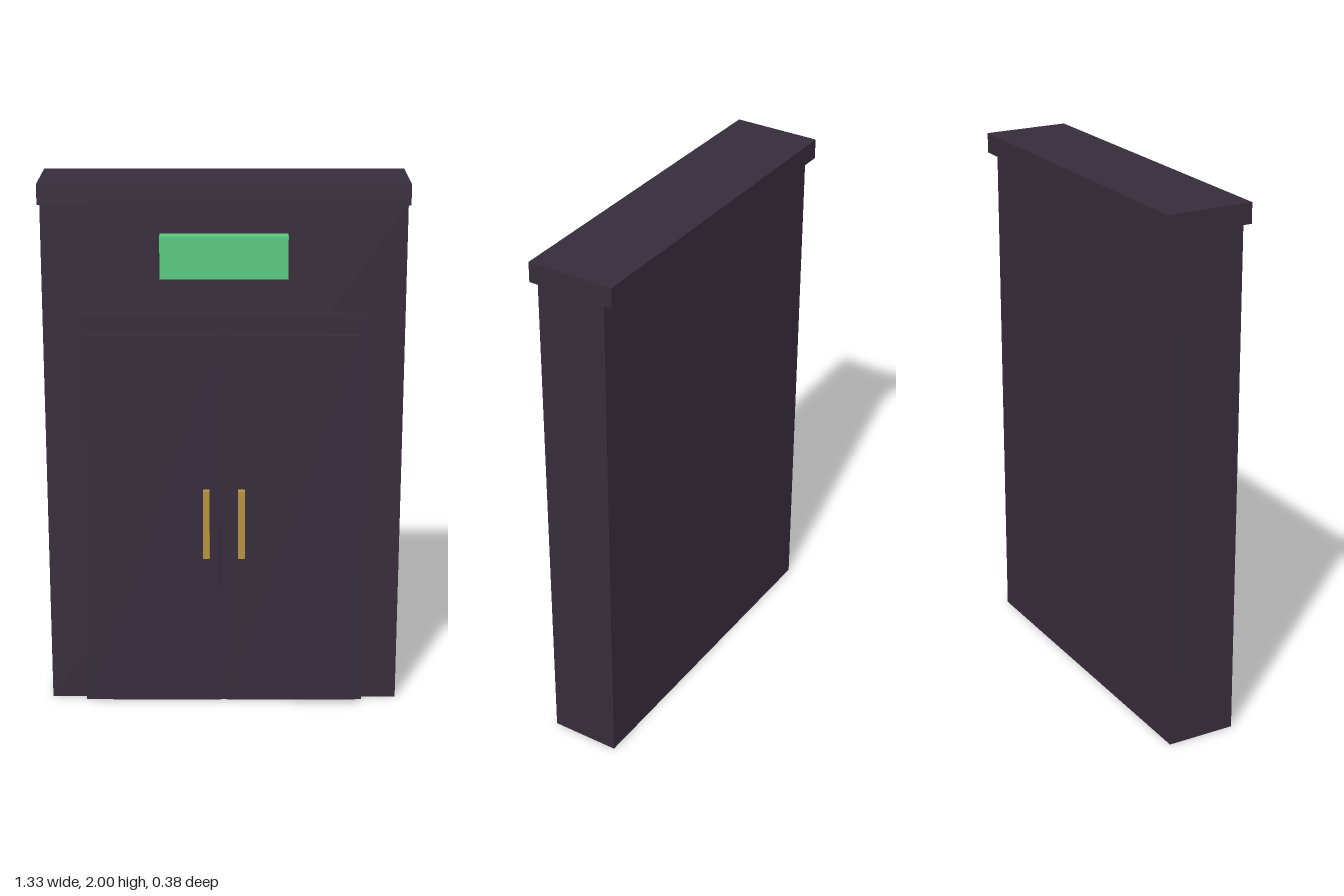
import * as THREE from 'three';

const material = (name, color) => {
  const m = new THREE.MeshStandardMaterial({ color });
  m.name = name;
  return m;
};

export function createModel() {
  const model = new THREE.Group();
  model.name = 'doorway';
  const wallColour = material('dark plum', 0x362c3a);
  const signColour = material('green', 0x58c980);
  const handleColour = material('brass', 0xb5923e);

  // Box given by its lower and upper limits on each axis
  const block = (name, mat, [x0, x1], [y0, y1], [z0, z1]) => {
    const mesh = new THREE.Mesh(new THREE.BoxGeometry(x1 - x0, y1 - y0, z1 - z0), mat);
    mesh.position.set((x0 + x1) / 2, (y0 + y1) / 2, (z0 + z1) / 2);
    mesh.name = name;
    model.add(mesh);
  };

  // Wall, overhanging cap and raised door surround
  block('wall', wallColour, [-0.66, 0.66], [0, 1.925], [-0.153, 0.111]);
  block('cap', wallColour, [-0.667, 0.667], [1.925, 2], [-0.189, 0.14]);
  block('doorFrame', wallColour, [-0.529, 0.529], [0, 1.525], [0.1, 0.137]);

  // Sign above the doors
  block('sign', signColour, [-0.231, 0.231], [1.66, 1.817], [0.1, 0.163]);

  // Double doors with upright handles
  for (const [side, s] of [['left', 1], ['right', -1]]) {
    const span = (a, b) => (s > 0 ? [a, b] : [-b, -a]);
    block(side + 'Door', wallColour, span(0.012, 0.502), [0.01, 1.452], [0.13, 0.162]);
    block(side + 'Handle', handleColour, span(0.053, 0.078), [0.598, 0.863], [0.155, 0.189]);
  }
  return model;
}
